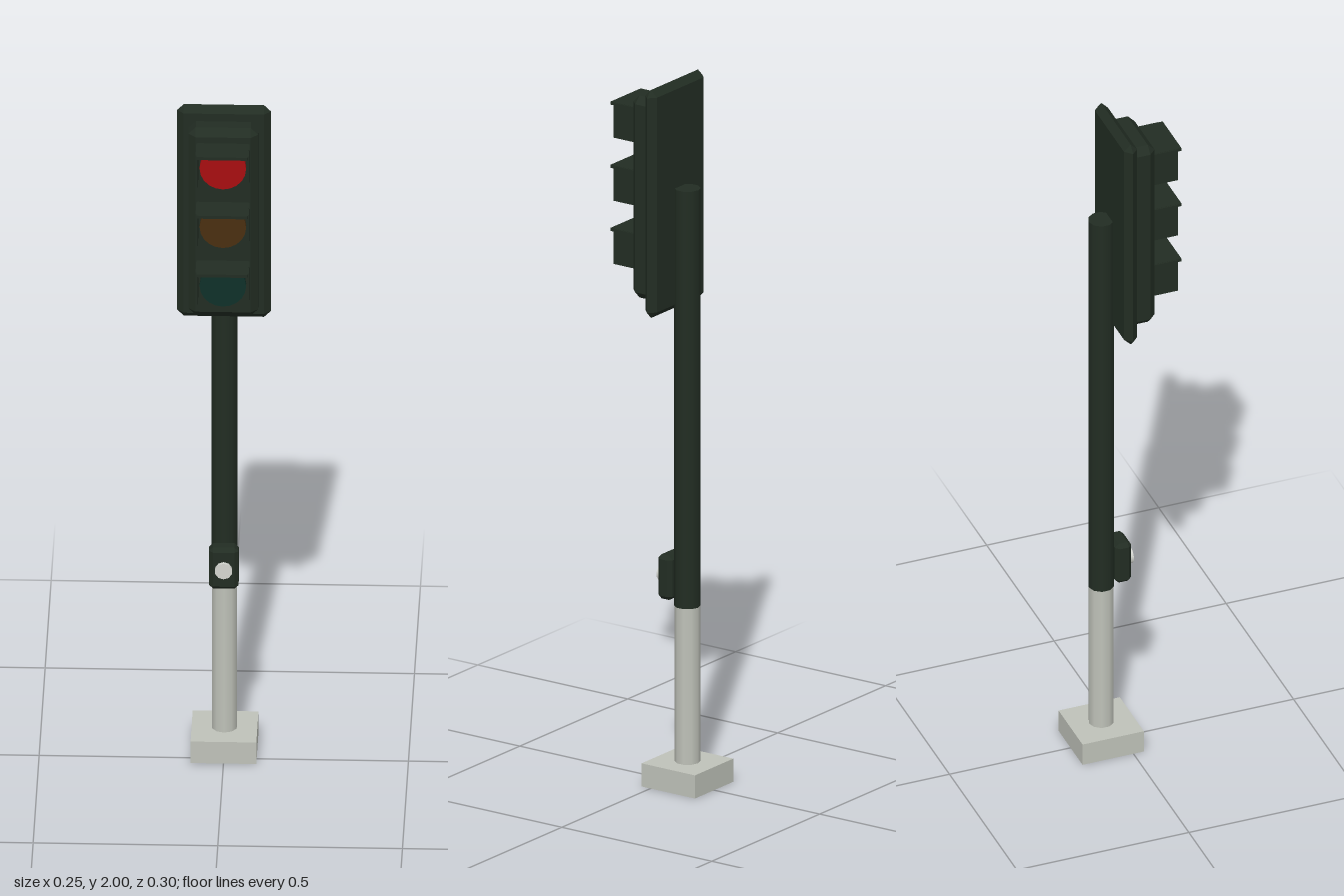
import * as THREE from 'three';
import { ConvexGeometry } from 'three/addons/geometries/ConvexGeometry.js';

const material = (name, color, side = THREE.FrontSide) => {
  const m = new THREE.MeshStandardMaterial({ color, side });
  m.name = name;
  return m;
};

// Box with a single chamfer b along every edge
function chamferBox(x, y, z, b, cutBack = true) {
  const pts = [];
  for (const sx of [-1, 1]) for (const sy of [-1, 1]) for (const sz of [-1, 1]) {
    const c = sz < 0 && !cutBack ? 0 : b;
    const at = (dx, dy, dz) => pts.push(new THREE.Vector3(sx * (x / 2 - dx), sy * (y / 2 - dy), sz * (z / 2 - dz)));
    at(b, b, 0);
    at(0, b, c);
    at(b, 0, c);
  }
  return new ConvexGeometry(pts);
}

export function createModel() {
  const model = new THREE.Group();
  model.name = 'trafficLight';
  const dark = material('darkGreenPaint', 0x222d23);
  const grey = material('paleGrey', 0xbfc2b9);
  const white = material('buttonWhite', 0xd4d6d0);
  const lensColours = [
    material('redLens', 0xa80e10),
    material('amberLens', 0x4a2f10),
    material('greenLens', 0x0f3029),
  ];

  const add = (name, geometry, mat, x, y, z, parent = model) => {
    const mesh = new THREE.Mesh(geometry, mat);
    mesh.name = name;
    mesh.position.set(x, y, z);
    parent.add(mesh);
    return mesh;
  };
  const box = (x, y, z) => new THREE.BoxGeometry(x, y, z);
  const disc = (r, depth, sides) => new THREE.CylinderGeometry(r, r, depth, sides).rotateX(Math.PI / 2);

  // Foot and two-tone pole
  const poleZ = -0.059;
  add('base', box(0.178, 0.066, 0.178), grey, 0, 0.033, poleZ);
  add('lowerPole', new THREE.CylinderGeometry(0.035, 0.035, 0.445, 10), grey, 0, 0.2875, poleZ);
  add('upperPole', new THREE.CylinderGeometry(0.036, 0.036, 1.19, 10), dark, 0, 1.105, poleZ);

  // Pedestrian push button
  add('buttonBox', chamferBox(0.08, 0.126, 0.047, 0.011), dark, 0, 0.588, -0.0065);
  add('pushButton', disc(0.024, 0.014, 10), white, 0, 0.588, 0.02);

  // Signal head
  add('backPlate', chamferBox(0.255, 0.65, 0.038, 0.0189), dark, 0, 1.675, -0.016);
  add('signalBody', chamferBox(0.189, 0.576, 0.075, 0.02), dark, 0, 1.675, 0.0295);

  // Three lamps, each with a lens and an open hood
  lensColours.forEach((lens, i) => {
    const lamp = new THREE.Group();
    lamp.name = 'lamp';
    lamp.position.y = 1.855 - i * 0.18;
    model.add(lamp);
    add('lens', disc(0.063, 0.022, 20), lens, 0, 0, 0.071, lamp);
    add('hoodTop', box(0.139, 0.009, 0.084), dark, 0, 0.0655, 0.105, lamp);
    for (const s of [-1, 1]) {
      add('hoodSide', box(0.006, 0.099, 0.073), dark, s * 0.0692, 0.0195, 0.0995, lamp);
    }
  });

  return model;
}
